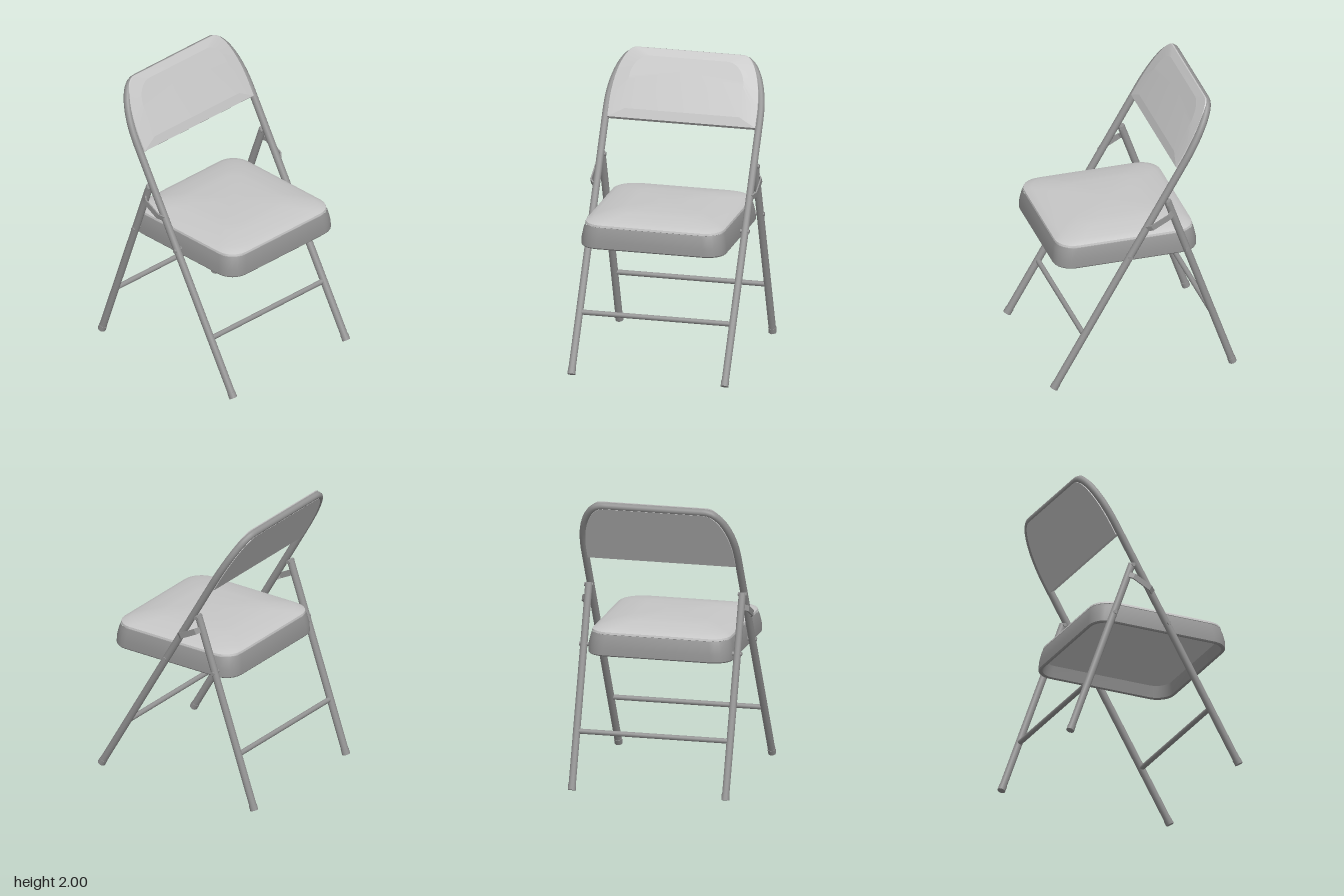
import * as THREE from 'three';
import { toCreasedNormals } from 'three/addons/utils/BufferGeometryUtils.js';

const V = (x, y, z) => new THREE.Vector3(x, y, z);

export function createModel() {
  const model = new THREE.Group();
  const metal = new THREE.MeshStandardMaterial({ color: 0x949494 });
  metal.name = 'greyMetal';
  const vinyl = new THREE.MeshStandardMaterial({ color: 0xc6c6c6 });
  vinyl.name = 'lightGreyPadding';

  const add = (name, geometry, material, parent = model) => {
    const mesh = new THREE.Mesh(geometry, material);
    mesh.name = name;
    parent.add(mesh);
    return mesh;
  };

  // Straight round bar between two points
  const bar = (name, a, b, r) => {
    const mesh = add(name, new THREE.CylinderGeometry(r, r, a.distanceTo(b), 12), metal);
    mesh.position.copy(a).add(b).multiplyScalar(0.5);
    mesh.quaternion.setFromUnitVectors(V(0, 1, 0), b.clone().sub(a).normalize());
    return mesh;
  };

  // Skin over a stack of matching rings, with an optional cap on the last one
  const loft = (rings, capStart, capEnd, crease = 0.6) => {
    const n = rings[0].length, points = rings.flat(), index = [];
    for (let i = 0; i < rings.length - 1; i++) {
      for (let j = 0; j < n; j++) {
        const a = i * n + j, b = i * n + (j + 1) % n;
        index.push(a, b, b + n, a, b + n, a + n);
      }
    }
    const cap = (ring, base, flip) => {
      const c = ring.reduce((s, p) => s.add(p), V(0, 0, 0)).divideScalar(n);
      const k = points.push(c) - 1;
      for (let j = 0; j < n; j++) {
        const a = base + j, b = base + (j + 1) % n;
        index.push(...(flip ? [b, a, k] : [a, b, k]));
      }
    };
    if (capStart) cap(rings[0], 0, true);
    if (capEnd) cap(rings[rings.length - 1], (rings.length - 1) * n, false);
    const g = new THREE.BufferGeometry().setFromPoints(points);
    g.setIndex(index);
    return toCreasedNormals(g, crease);
  };

  // Rounded square ring of the seat: height, half width, corner radius
  const seatRing = ([y, half, r]) => {
    const ring = [];
    for (let q = 0; q < 4; q++) {
      for (let k = 0; k <= 6; k++) {
        const t = (q + k / 6) * Math.PI / 2;
        const sx = q === 0 || q === 3 ? 1 : -1, sz = q < 2 ? -1 : 1;
        ring.push(V(0.09 + sx * (half - r) + r * Math.cos(t), y, sz * (half - r) - r * Math.sin(t)));
      }
    }
    return ring;
  };

  // Seat pan: inner wall, lip and tapering skirt
  add('seatPan', loft([
    [0.985, 0.465, 0.11], [0.905, 0.482, 0.12], [0.9, 0.488, 0.12], [0.9, 0.499, 0.125],
    [0.908, 0.505, 0.13], [0.96, 0.503, 0.13], [1.02, 0.492, 0.13], [1.045, 0.484, 0.13],
  ].map(seatRing), false, false), metal);

  // Domed cushion, its flat base closing the hollow under the seat
  add('seatCushion', loft([
    [0.985, 0.465, 0.11], [1.045, 0.475, 0.12], [1.049, 0.484, 0.13], [1.063, 0.481, 0.13],
    [1.074, 0.464, 0.13], [1.085, 0.437, 0.13], [1.099, 0.37, 0.12], [1.111, 0.31, 0.11],
    [1.119, 0.25, 0.1],
  ].map(seatRing), true, true), vinyl);

  // Sloping plane of the main frame: local x across, y up the slope, z forward
  const up = V(-0.5, Math.sqrt(0.75), 0), out = V(Math.sqrt(0.75), 0.5, 0);
  const foot = V(0.635, 0.015, 0);
  const back = new THREE.Group();
  back.name = 'mainFrameAndBackrest';
  back.quaternion.setFromRotationMatrix(new THREE.Matrix4().makeBasis(V(0, 0, -1), up, out));
  back.position.copy(foot);
  model.add(back);
  const onSlope = (s, z) => foot.clone().addScaledVector(up, s).setZ(z);

  // Arch outline: half width, bottom, top, corner width, corner height, forward offset
  const arch = (half, bottom, top, a, b, h) => {
    const right = [V(half, bottom, h)];
    for (let k = 0; k <= 12; k++) {
      const t = k / 12 * Math.PI / 2;
      right.push(V(half - a + a * Math.cos(t), top - b + b * Math.sin(t), h));
    }
    return [...right, ...right.map(p => V(-p.x, p.y, p.z)).reverse()];
  };

  // Bent tube forming the front legs and the back
  const path = new THREE.CurvePath();
  const pts = arch(0.535, 0, 2.263, 0.175, 0.41, 0);
  for (let i = 0; i < pts.length - 1; i++) path.add(new THREE.LineCurve3(pts[i], pts[i + 1]));
  add('mainFrame', new THREE.TubeGeometry(path, 160, 0.0255, 12, false), metal, back);

  // Backrest lapping over the top of the tube, with a bevelled front
  add('backrest', loft([
    arch(0.515, 1.785, 2.255, 0.165, 0.4, -0.025),
    arch(0.515, 1.785, 2.255, 0.165, 0.4, 0),
    arch(0.518, 1.785, 2.284, 0.145, 0.4, 0.02),
    arch(0.516, 1.787, 2.279, 0.145, 0.4, 0.027),
    arch(0.4, 1.85, 2.225, 0.13, 0.17, 0.038),
  ], true, true, 0.1), vinyl, back);

  // Rear legs, feet, pivots and folding links on both sides
  const rearBottom = V(-0.63, 0.012, 0), rearTop = V(-0.168, 1.34, 0);
  const onRear = (t, z) => rearBottom.clone().lerp(rearTop, t).setZ(z);
  const link = V(0.18, -0.095, 0).normalize();
  const linkShape = new THREE.Shape([
    [-0.105, -0.03], [-0.105, 0.005], [-0.07, 0.03], [0.07, 0.03], [0.105, 0.005], [0.105, -0.03],
    [0.095, -0.03], [0.095, 0], [0.066, 0.021], [-0.066, 0.021], [-0.095, 0], [-0.095, -0.03],
  ].map(([x, y]) => new THREE.Vector2(x, y)));
  const linkGeometry = new THREE.ExtrudeGeometry(linkShape, { depth: 0.04, bevelEnabled: false });
  linkGeometry.translate(0, 0, -0.02);

  for (const s of [1, -1]) {
    const z = 0.535 * s;
    bar('rearLeg', onRear(0, z), onRear(1, z), 0.0255);
    bar('rearFoot', onRear(0, z), onRear(0.028, z), 0.028);
    bar('frontFoot', onSlope(0, z), onSlope(0.04, z), 0.028);

    const rivets = [[0.098, 0.95, 0.485], [-0.303, 0.95, 0.485], [-0.167, 1.33, 0.505]];
    for (const [x, y, inner] of rivets) {
      bar('pivotRivet', V(x, y, inner * s), V(x, y, 0.566 * s), 0.014);
    }

    const bracket = add('foldingLink', linkGeometry, metal);
    bracket.position.set(-0.11, 1.203, 0.552 * s);
    bracket.quaternion.setFromRotationMatrix(new THREE.Matrix4().makeBasis(
      link, V(0, 0, s), V(link.y * s, -link.x * s, 0)));
  }

  // Cross bars between the legs
  bar('frontCrossBar', onSlope(0.433, -0.53), onSlope(0.433, 0.53), 0.018);
  bar('rearCrossBar', onRear(0.285, -0.53), onRear(0.285, 0.53), 0.018);

  return model;
}
